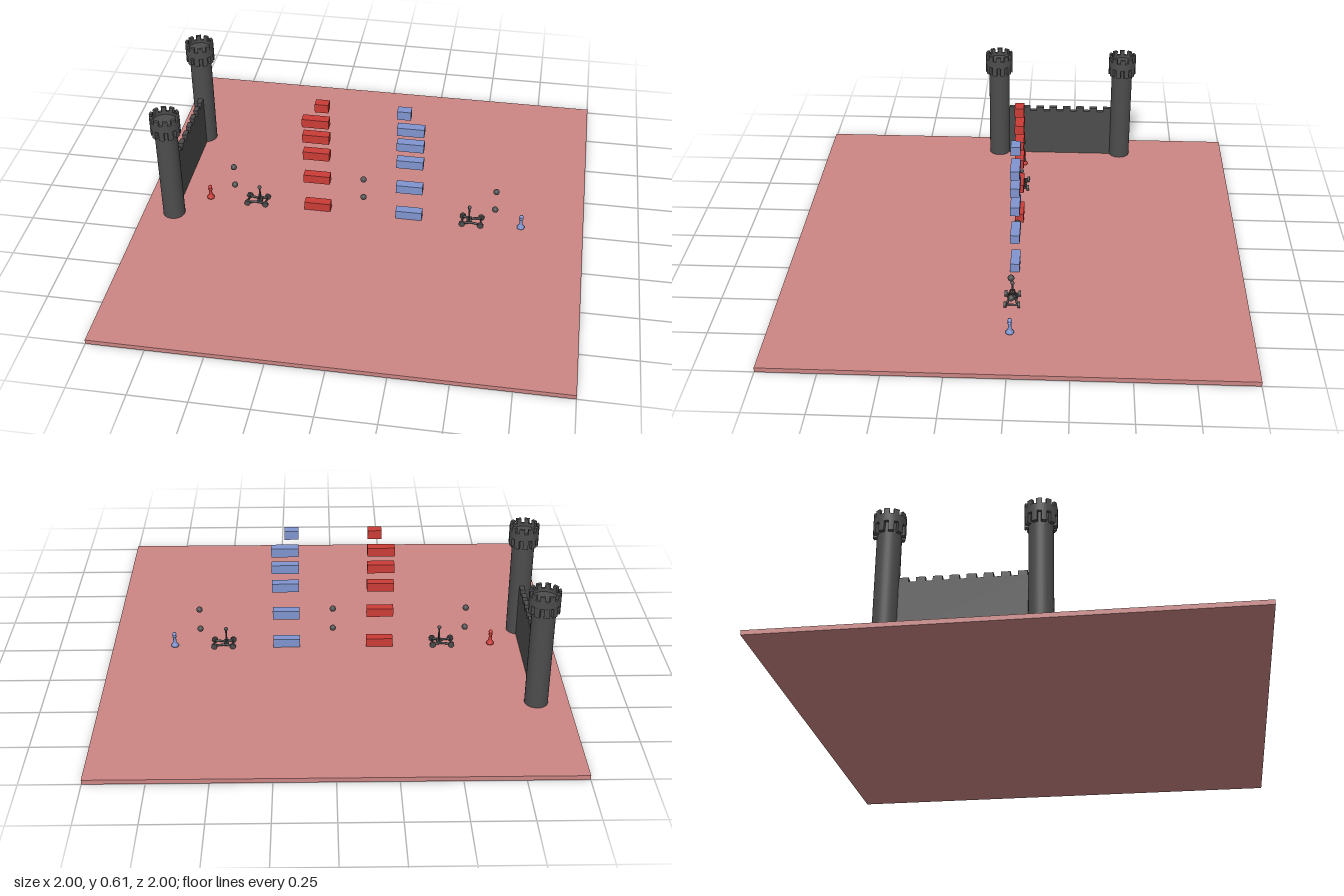
import * as THREE from 'three';

const mat = (name, color) => {
  const m = new THREE.MeshStandardMaterial({ color });
  m.name = name;
  return m;
};

export function createModel() {
  const root = new THREE.Group();
  root.name = 'castleField';
  const pink = mat('groundPink', 0xcc8684);
  const stone = mat('darkStone', 0x4d4d4d);
  const red = mat('red', 0xcb3c36);
  const blue = mat('blue', 0x8094cf);
  const FLOOR = 0.02;

  const add = (parent, name, geo, material, x = 0, y = 0, z = 0) => {
    const m = new THREE.Mesh(geo, material);
    m.name = name;
    m.position.set(x, y, z);
    parent.add(m);
    return m;
  };
  const group = (name, x = 0, y = 0, z = 0) => {
    const g = new THREE.Group();
    g.name = name;
    g.position.set(x, y, z);
    root.add(g);
    return g;
  };
  // Curved block: a sector of a ring, standing on y = 0
  const arcBlock = (r0, r1, angle, height) => {
    const s = new THREE.Shape();
    s.absarc(0, 0, r1, -angle / 2, angle / 2, false);
    s.absarc(0, 0, r0, angle / 2, -angle / 2, true);
    return new THREE.ExtrudeGeometry(s, { depth: height, bevelEnabled: false, curveSegments: 5 }).rotateX(-Math.PI / 2);
  };
  // Cylindrical bar between two points
  const bar = (parent, name, a, b, r) => {
    const p = new THREE.Vector3(...a), q = new THREE.Vector3(...b);
    const d = q.clone().sub(p);
    const m = add(parent, name, new THREE.CylinderGeometry(r, r, d.length(), 10), stone);
    m.position.copy(p).add(q).multiplyScalar(0.5);
    m.quaternion.setFromUnitVectors(new THREE.Vector3(0, 1, 0), d.normalize());
  };

  // Ground slab
  add(root, 'ground', new THREE.BoxGeometry(2, FLOOR, 2), pink, 0, FLOOR / 2, 0);

  // Two towers with corbelled, crenellated crowns
  for (const z of [0.13, -0.478]) {
    const t = group('tower', -0.86, FLOOR, z);
    add(t, 'shaft', new THREE.CylinderGeometry(0.05, 0.05, 0.5, 32), stone, 0, 0.25, 0);
    const ring = new THREE.Shape().absarc(0, 0, 0.066, 0, Math.PI * 2, false);
    ring.holes.push(new THREE.Path().absarc(0, 0, 0.053, 0, Math.PI * 2, true));
    add(t, 'parapet', new THREE.ExtrudeGeometry(ring, { depth: 0.034, bevelEnabled: false, curveSegments: 32 })
      .rotateX(-Math.PI / 2), stone, 0, 0.488, 0);
    add(t, 'towerFloor', new THREE.CylinderGeometry(0.056, 0.05, 0.02, 32), stone, 0, 0.498, 0);
    const n = 10;
    for (let i = 0; i < n; i++) {
      const a = (i / n) * Math.PI * 2;
      add(t, 'merlon', arcBlock(0.053, 0.066, 0.36, 0.024), stone, 0, 0.52, 0).rotation.y = a;
      add(t, 'corbel', arcBlock(0.048, 0.066, 0.36, 0.044), stone, 0, 0.446, 0).rotation.y = a + Math.PI / n;
    }
  }

  // Curtain wall with battlements
  const wall = group('curtainWall', -0.86, 0, -0.174);
  add(wall, 'wallBody', new THREE.BoxGeometry(0.022, 0.236, 0.53), stone, 0, FLOOR + 0.118, 0);
  for (let i = 0; i < 8; i++) {
    add(wall, 'wallMerlon', new THREE.BoxGeometry(0.022, 0.019, 0.038), stone, 0, 0.2655, 0.234 - i * 0.067);
  }

  // Floating stacks of bricks, the top one a half brick
  const stack = (name, material, cx, halfX, ys) => {
    const g = group(name);
    ys.forEach((y) => add(g, 'brick', new THREE.BoxGeometry(0.12, 0.041, 0.041), material, cx, y, 0));
    add(g, 'halfBrick', new THREE.BoxGeometry(0.06, 0.041, 0.041), material, halfX, 0.59, 0);
  };
  stack('redBricks', red, -0.212, -0.182, [0.041, 0.198, 0.328, 0.421, 0.504]);
  stack('blueBricks', blue, 0.21, 0.18, [0.041, 0.188, 0.328, 0.421, 0.504]);

  // Cannonballs
  for (const x of [-0.6, 0, 0.6]) {
    for (const y of [0.11, 0.21]) {
      add(root, 'cannonball', new THREE.SphereGeometry(0.014, 20, 14), stone, x, y, 0);
    }
  }

  // Pawn-like soldiers
  const profile = [[0, 0], [0.017, 0], [0.017, 0.007], [0.012, 0.013], [0.008, 0.023], [0.006, 0.045],
    [0.01, 0.048], [0.01, 0.051], [0.005, 0.053], [0.008, 0.058], [0.009, 0.063], [0.007, 0.069], [0, 0.073]]
    .map(([r, y]) => new THREE.Vector2(r, y));
  add(root, 'redSoldier', new THREE.LatheGeometry(profile, 20), red, -0.72, FLOOR, 0);
  add(root, 'blueSoldier', new THREE.LatheGeometry(profile, 20), blue, 0.72, FLOOR, 0);

  // Mirrored catapults: waisted frame, axles, wheels and upright arm
  for (const s of [-1, 1]) {
    const c = group('catapult', s * 0.497, 0, 0);
    const y = 0.034;
    for (const x of [-0.042, 0.042]) {
      bar(c, 'axle', [x, y, -0.03], [x, y, 0.03], 0.004);
      for (const z of [-0.029, 0.029]) {
        add(c, 'wheel', new THREE.CylinderGeometry(0.0135, 0.0135, 0.011, 18).rotateX(Math.PI / 2), stone, x, y, z);
        bar(c, 'sideBeam', [x, y, Math.sign(z) * 0.024], [0, y, Math.sign(z) * 0.015], 0.005);
      }
    }
    const ax = -s * 0.012;
    add(c, 'crossBeam', new THREE.BoxGeometry(0.022, 0.012, 0.038), stone, ax, y + 0.002, 0);
    for (const z of [-1, 1]) bar(c, 'strut', [ax, y, z * 0.018], [ax, 0.075, z * 0.007], 0.0035);
    bar(c, 'arm', [ax, y, 0], [ax, 0.108, 0], 0.004);
    add(c, 'armCup', new THREE.SphereGeometry(0.009, 16, 12), stone, ax, 0.108, 0);
  }

  return root;
}
